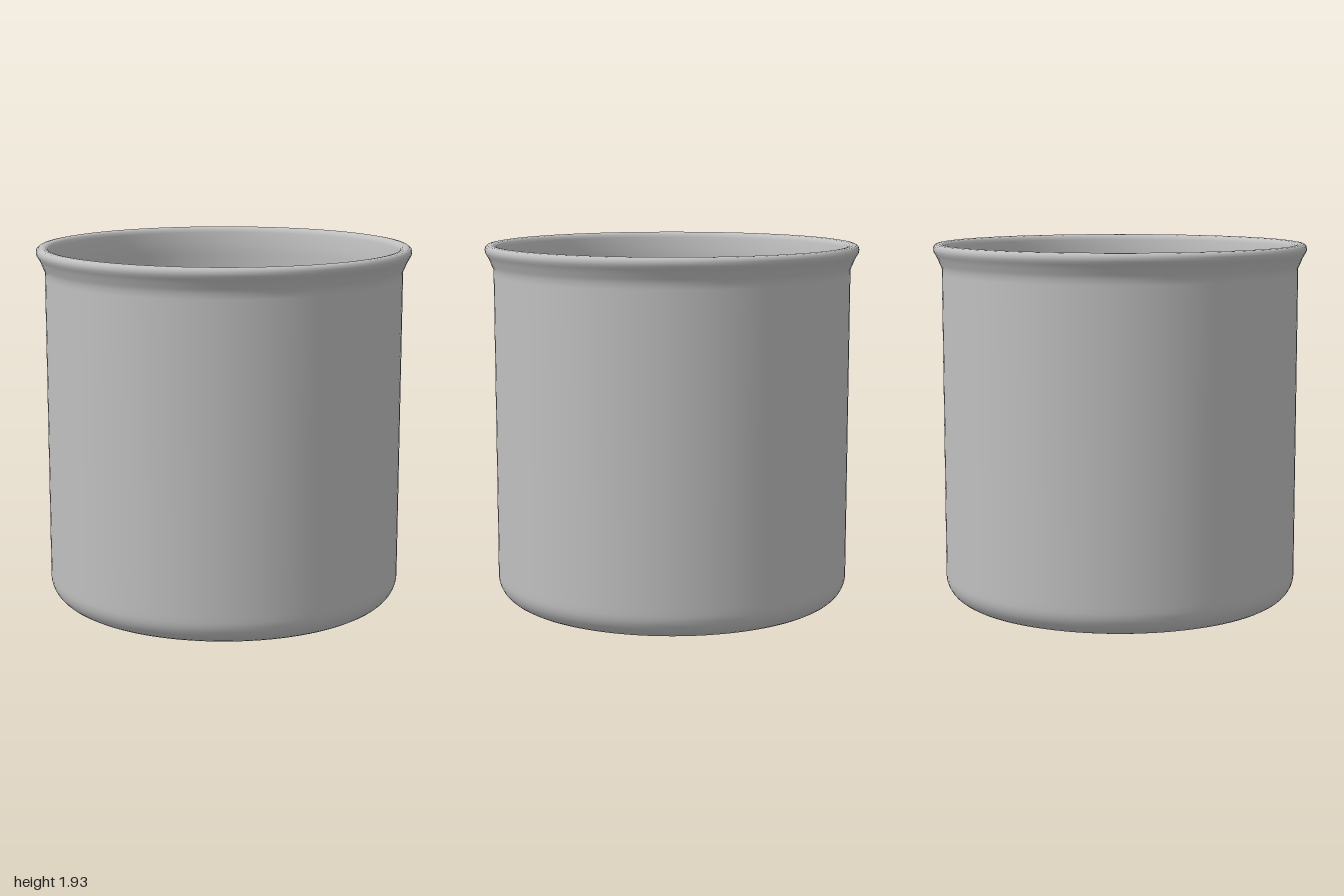
import * as THREE from 'three';

// Quarter-round corner points between two angles
function arc(cx, cy, r, from, to, steps = 8) {
  const points = [];
  for (let i = 0; i <= steps; i++) {
    const a = from + (to - from) * i / steps;
    points.push(new THREE.Vector2(cx + r * Math.cos(a), cy + r * Math.sin(a)));
  }
  return points;
}

export function createModel() {
  const group = new THREE.Group();
  group.name = 'beaker';
  const grey = new THREE.MeshStandardMaterial({ color: 0xc0c0c0 });
  grey.name = 'grey';
  const v = (x, y) => new THREE.Vector2(x, y);

  // Closed wall profile: underside, outer wall, flared rolled rim, inner wall, floor
  const profile = [
    v(0, 0), v(0.8, 0),
    ...arc(0.825, 0.13, 0.13, -Math.PI / 2, 0),
    v(0.955, 0.16), v(0.955, 1.77), v(0.955, 1.8),
    v(0.965, 1.822), v(0.976, 1.85), v(0.988, 1.872), v(0.997, 1.887),
    v(1, 1.903), v(0.996, 1.918), v(0.985, 1.927), v(0.968, 1.93),
    v(0.95, 1.927), v(0.937, 1.918), v(0.932, 1.9),
    v(0.928, 1.87), v(0.922, 1.83), v(0.92, 1.79), v(0.92, 1.76), v(0.92, 0.16),
    ...arc(0.82, 0.135, 0.1, 0, -Math.PI / 2),
    v(0.79, 0.035), v(0, 0.035),
  ];
  const vessel = new THREE.Mesh(new THREE.LatheGeometry(profile, 96), grey);
  vessel.name = 'vessel';
  group.add(vessel);
  return group;
}
